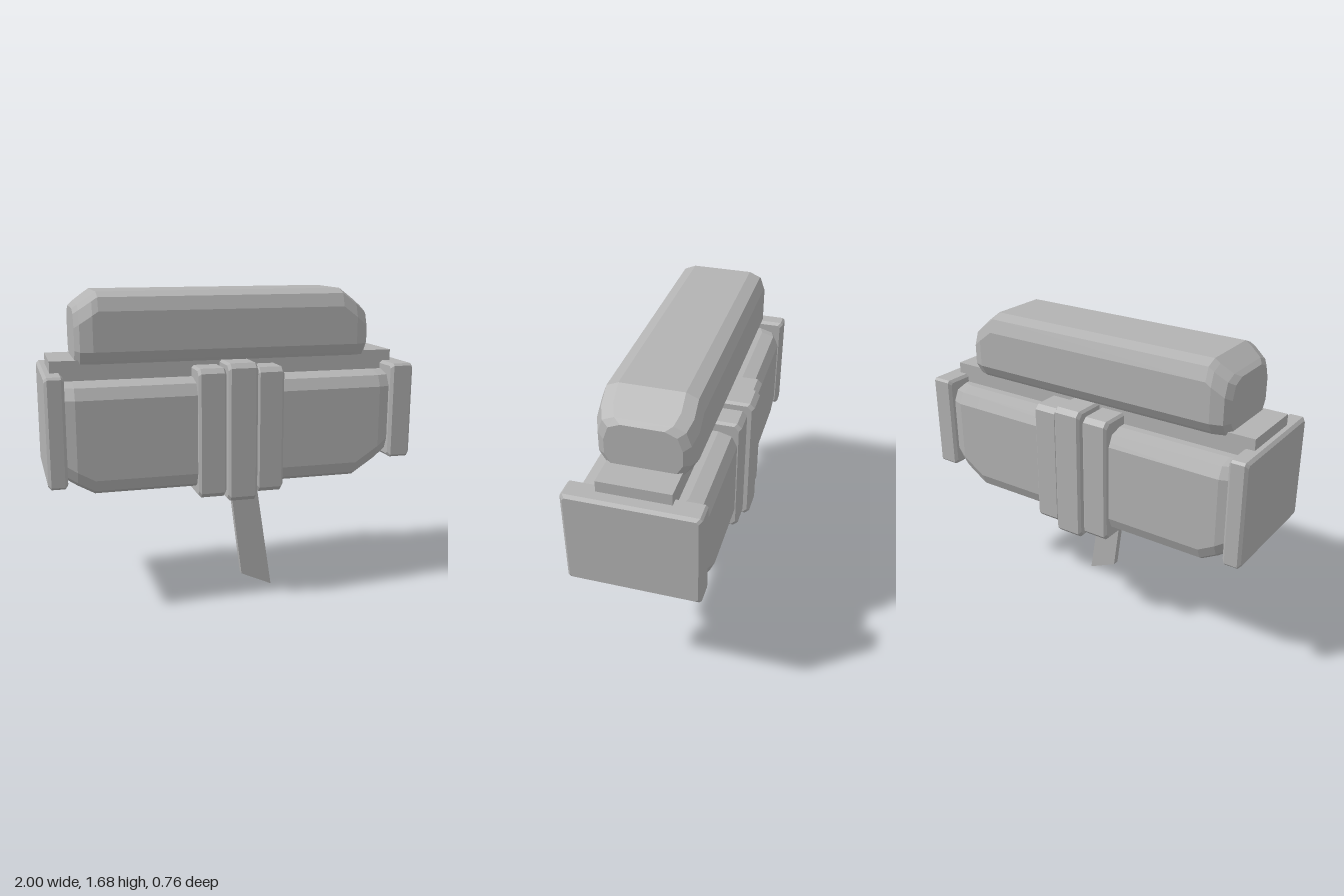
import * as THREE from 'three';

const grey = new THREE.MeshStandardMaterial({ color: 0xb2b2b2 });
grey.name = 'plain grey';

// Solid lofted along x. Stations are [x, bottom, top, halfWidth];
// corner cuts are [dy, dz] pairs, listed from the horizontal face to the side face.
function loft(name, stations, topCut, bottomCut = topCut) {
  const rings = stations.map(([x, y0, y1, w]) => {
    const half = [
      ...topCut.map(([dy, dz]) => [y1 - dy, w - dz]),
      ...[...bottomCut].reverse().map(([dy, dz]) => [y0 + dy, w - dz]),
    ];
    const mirrored = [...half].reverse().map(([y, z]) => [y, -z]);
    return [...half, ...mirrored].map(([y, z]) => [x, y, z]);
  });
  const pos = [];
  const n = rings[0].length;
  const last = rings[rings.length - 1];
  for (let i = 0; i + 1 < rings.length; i++) {
    for (let k = 0; k < n; k++) {
      const j = (k + 1) % n;
      const a = rings[i][k], b = rings[i][j], c = rings[i + 1][j], d = rings[i + 1][k];
      pos.push(...a, ...b, ...c, ...a, ...c, ...d);
    }
  }
  for (let k = 1; k + 1 < n; k++) {
    pos.push(...rings[0][0], ...rings[0][k + 1], ...rings[0][k]);
    pos.push(...last[0], ...last[k], ...last[k + 1]);
  }
  const geo = new THREE.BufferGeometry();
  geo.setAttribute('position', new THREE.Float32BufferAttribute(pos, 3));
  geo.computeVertexNormals();
  const mesh = new THREE.Mesh(geo, grey);
  mesh.name = name;
  return mesh;
}

// Bevelled block: both x ends are inset by a small chamfer
function block(name, x0, x1, y0, y1, w, bevel, corner) {
  const b = bevel;
  return loft(name, [
    [x0, y0 + b, y1 - b, w - b],
    [x0 + b, y0, y1, w],
    [x1 - b, y0, y1, w],
    [x1, y0 + b, y1 - b, w - b],
  ], [[0, corner], [corner, 0]]);
}

export function createModel() {
  const model = new THREE.Group();
  model.name = 'strappedPack';

  // Main body with sloped underside at both ends
  model.add(loft('mainBody', [
    [-0.91, 0.735, 1.23, 0.305],
    [-0.85, 0.70, 1.23, 0.327],
    [-0.76, 0.65, 1.23, 0.327],
    [0.68, 0.65, 1.23, 0.327],
    [0.81, 0.735, 1.23, 0.327],
    [0.88, 0.78, 1.23, 0.305],
  ], [[0, 0.10], [0.02, 0.03], [0.08, 0]], [[0, 0.055], [0.02, 0.025], [0.08, 0]]));

  // Upper pad
  model.add(loft('upperPad', [
    [-0.83, 1.32, 1.595, 0.19],
    [-0.805, 1.315, 1.615, 0.225],
    [-0.74, 1.315, 1.66, 0.246],
    [-0.71, 1.315, 1.68, 0.246],
    [0.62, 1.315, 1.68, 0.246],
    [0.70, 1.315, 1.62, 0.246],
    [0.755, 1.315, 1.58, 0.225],
    [0.78, 1.32, 1.56, 0.19],
  ], [[0, 0.085], [0.025, 0.025], [0.095, 0]], [[0, 0.04], [0.015, 0.03], [0.065, 0]]));

  // Flat plate between body and pad
  const plate = new THREE.Mesh(new THREE.BoxGeometry(1.89, 0.125, 0.37), grey);
  plate.position.set(-0.015, 1.2725, 0);
  plate.name = 'mountingPlate';
  model.add(plate);

  // End caps
  model.add(block('rightEndCap', -1, -0.9, 0.70, 1.275, 0.34, 0.015, 0.012));
  model.add(block('leftEndCap', 0.87, 1, 0.75, 1.275, 0.34, 0.015, 0.012));

  // Three straps wrapped around the middle
  [
    [-0.22, -0.07, 0.60, 1.29, 0.358],
    [-0.065, 0.095, 0.575, 1.315, 0.378],
    [0.102, 0.25, 0.607, 1.285, 0.346],
  ].forEach(([x0, x1, y0, y1, w], i) => {
    model.add(block(`strap${i + 1}`, x0, x1, y0, y1, w, 0.013, 0.025));
  });

  // Loose strap end hanging down
  const outline = new THREE.Shape([
    new THREE.Vector2(-0.007, 0.65),
    new THREE.Vector2(0.065, 0.08),
    new THREE.Vector2(0.24, 0),
    new THREE.Vector2(0.142, 0.65),
  ]);
  const tail = new THREE.Mesh(
    new THREE.ExtrudeGeometry(outline, { depth: 0.038, bevelEnabled: false }), grey);
  tail.position.z = 0.146;
  tail.name = 'strapTail';
  model.add(tail);

  return model;
}
